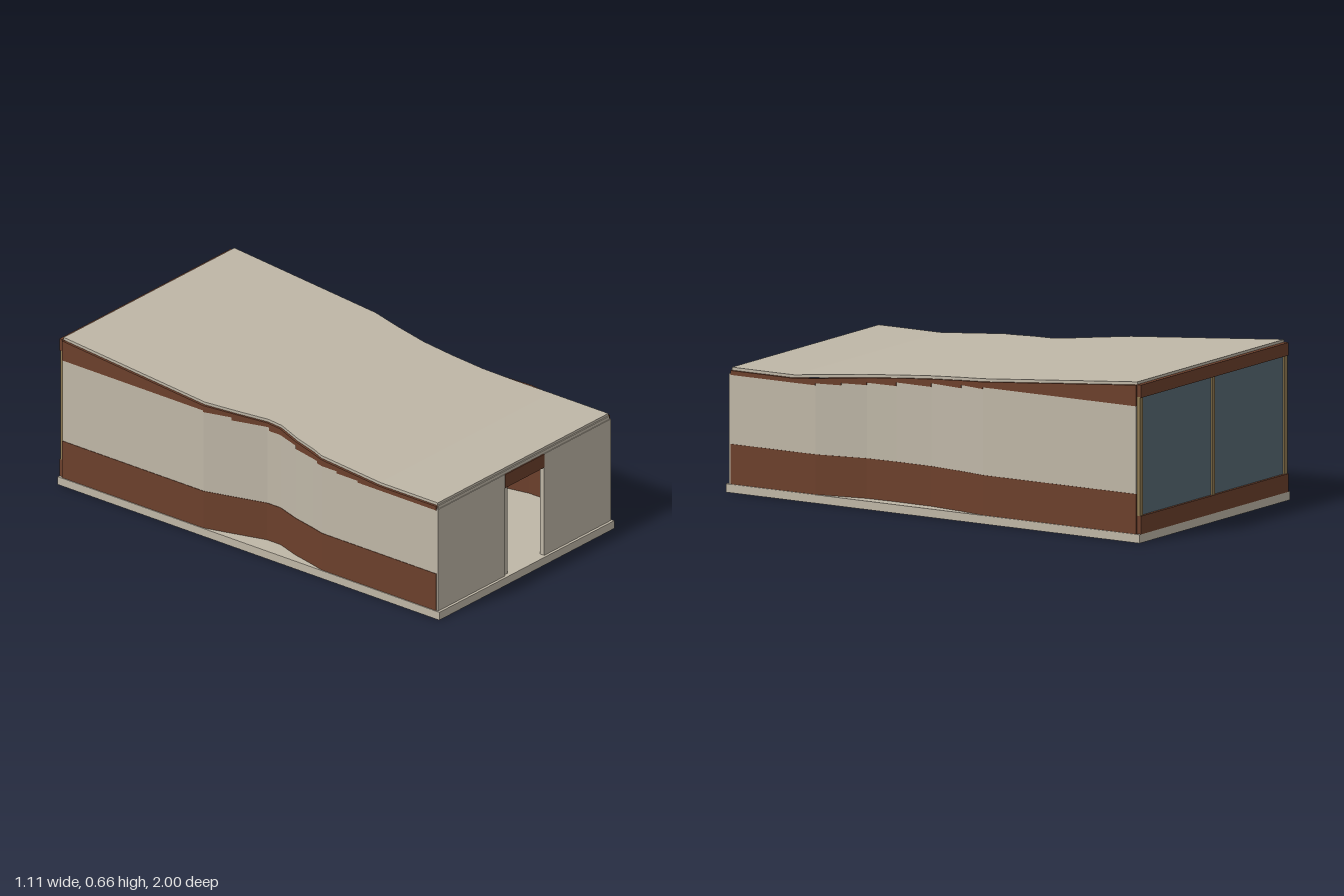
import * as THREE from 'three';
import { mergeGeometries } from 'three/addons/utils/BufferGeometryUtils.js';

const mat = (name, color) => {
  const m = new THREE.MeshStandardMaterial({ color });
  m.name = name;
  return m;
};

// Solid lofted through rectangular sections [z, xMin, xMax, yMin, yMax], z rising
function loft(sections) {
  const pos = [];
  const corners = ([z, xa, xb, ya, yb]) => [[xa, ya, z], [xb, ya, z], [xb, yb, z], [xa, yb, z]];
  const quad = (a, b, c, d) => pos.push(...a, ...b, ...c, ...a, ...c, ...d);
  const rings = sections.map(corners);
  for (let i = 0; i + 1 < rings.length; i++) {
    const p = rings[i], q = rings[i + 1];
    for (let k = 0; k < 4; k++) {
      const n = (k + 1) % 4;
      quad(p[n], p[k], q[k], q[n]);
    }
  }
  const first = rings[0], last = rings[rings.length - 1];
  quad(first[3], first[2], first[1], first[0]);
  quad(last[0], last[1], last[2], last[3]);
  for (let i = 0; i < pos.length; i += 9) {
    // reverse the side quads so that every face points outward
    const isCap = i >= pos.length - 36;
    if (isCap) continue;
    for (let k = 0; k < 3; k++) {
      const t = pos[i + 3 + k];
      pos[i + 3 + k] = pos[i + 6 + k];
      pos[i + 6 + k] = t;
    }
  }
  const g = new THREE.BufferGeometry();
  g.setAttribute('position', new THREE.Float32BufferAttribute(pos, 3));
  g.computeVertexNormals();
  return orient(g);
}

// Make the winding outward by checking the signed volume
function orient(g) {
  const p = g.attributes.position;
  const v = [new THREE.Vector3(), new THREE.Vector3(), new THREE.Vector3()];
  let volume = 0;
  for (let i = 0; i < p.count; i += 3) {
    v.forEach((w, k) => w.fromBufferAttribute(p, i + k));
    volume += v[0].dot(v[1].clone().cross(v[2]));
  }
  if (volume < 0) {
    for (let i = 0; i < p.count; i += 3) {
      v.forEach((w, k) => w.fromBufferAttribute(p, i + k));
      p.setXYZ(i + 1, v[2].x, v[2].y, v[2].z);
      p.setXYZ(i + 2, v[1].x, v[1].y, v[1].z);
    }
    g.computeVertexNormals();
  }
  return g;
}

// Half-width at depth z, from plan points [z, x]
function halfWidth(points, z) {
  let i = 0;
  while (i < points.length - 2 && z > points[i + 1][0]) i++;
  const [a, b] = [points[i], points[i + 1]];
  return a[1] + (b[1] - a[1]) * (z - a[0]) / (b[0] - a[0]);
}

const roofPlan = {
  1: [[-0.98, 0.543], [-0.24, 0.543], [-0.1, 0.518], [0.05, 0.498], [0.2, 0.495], [0.36, 0.499], [0.5, 0.516], [0.68, 0.543], [0.98, 0.543]],
  '-1': [[-0.98, 0.543], [-0.24, 0.543], [-0.1, 0.505], [0.03, 0.466], [0.1, 0.466], [0.21, 0.502], [0.32, 0.526], [0.37, 0.543], [0.98, 0.543]],
};
const wallPlan = {
  1: [[-0.98, 0.552], [-0.24, 0.552], [-0.12, 0.528], [0.04, 0.506], [0.21, 0.503], [0.35, 0.508], [0.46, 0.53], [0.57, 0.552], [0.98, 0.552]],
  '-1': [[-0.98, 0.552], [-0.24, 0.552], [-0.12, 0.518], [0.03, 0.474], [0.1, 0.474], [0.21, 0.511], [0.32, 0.536], [0.38, 0.552], [0.98, 0.552]],
};
const roofTop = (z) => 0.515 + Math.max(0, 0.68 - z) / 1.66 * 0.146;
const ROOF = 0.012;

// Stepped top of the pale wall
function wallTop(z) {
  const steps = [[-0.24, 0.562], [-0.12, 0.555], [0.04, 0.542], [0.21, 0.527], [0.35, 0.512], [0.46, 0.502], [0.57, 0.493]];
  const s = steps.find(([limit]) => z < limit);
  return s ? s[1] : 0.485;
}

export function createModel() {
  const model = new THREE.Group();
  const cream = mat('cream plaster', 0xbfb7a7);
  const brown = mat('brown timber', 0x6c402c);
  const tan = mat('tan frame', 0x917c53);
  const glass = mat('blue grey glass', 0x586a74);

  const add = (name, geometry, material) => {
    const m = new THREE.Mesh(geometry, material);
    m.name = name;
    model.add(m);
    return m;
  };
  // Box given by its limits
  const block = (name, material, x0, x1, y0, y1, z0, z1) => {
    const m = add(name, new THREE.BoxGeometry(x1 - x0, y1 - y0, z1 - z0), material);
    m.position.set((x0 + x1) / 2, (y0 + y1) / 2, (z0 + z1) / 2);
    return m;
  };

  block('baseSlab', cream, -0.557, 0.557, 0, 0.035, -1, 1);

  // Sloping roof following both curved sides
  const zs = [...new Set([...roofPlan[1], ...roofPlan[-1]].map(([z]) => z))].sort((a, b) => a - b);
  add('roof', loft(zs.map((z) => [z, -halfWidth(roofPlan[-1], z), halfWidth(roofPlan[1], z), roofTop(z) - ROOF, roofTop(z)])), cream);

  // Side walls: brown plinth, pale middle, brown fascia under the roof
  for (const side of [1, -1]) {
    const plan = wallPlan[side];
    const label = side > 0 ? 'left' : 'right';
    const cuts = [...new Set([...plan.map(([z]) => z), -0.12, 0.04, 0.21, 0.35, 0.46, 0.57, 0.68])].sort((a, b) => a - b);
    const section = (z, grow, y0, y1) => {
      const outer = halfWidth(plan, z) + grow;
      const x = [side * (outer - 0.018), side * outer].sort((a, b) => a - b);
      return [z, x[0], x[1], y0, y1];
    };
    const plaster = [], fascia = [];
    for (let i = 0; i + 1 < cuts.length; i++) {
      const [a, b] = [cuts[i], cuts[i + 1]];
      const h = wallTop((a + b) / 2);
      plaster.push(loft([section(a, -0.001, 0.2, h), section(b, -0.001, 0.2, h)]));
      fascia.push(loft([section(a, 0.002, h, roofTop(a) - ROOF), section(b, 0.002, h, roofTop(b) - ROOF)]));
    }
    add(label + 'Plinth', loft(cuts.map((z) => section(z, 0.001, 0.035, 0.2))), brown);
    add(label + 'Wall', mergeGeometries(plaster), cream);
    add(label + 'Fascia', mergeGeometries(fascia), brown);

    // Front wall panels and rear corner posts
    const span = (a, b) => (side > 0 ? [a, b] : [-b, -a]);
    block(label + 'FrontWall', cream, ...span(0.125, 0.55), 0.035, 0.49, 0.965, 0.988);
    block(label + 'RearPost', tan, ...span(0.523, 0.545), 0.11, 0.6, -0.995, -0.975);
  }
  block('frontBeam', cream, -0.543, 0.543, 0.49, 0.504, 0.965, 0.985);
  block('doorLintel', brown, -0.125, 0.125, 0.43, 0.49, 0.965, 0.99);
  block('entryPartition', cream, -0.125, -0.1, 0.035, 0.43, 0.5, 0.98);

  // Glazed rear wall
  block('rearSill', brown, -0.545, 0.545, 0.035, 0.11, -1, -0.97);
  block('rearFascia', brown, -0.545, 0.545, 0.597, 0.65, -1, -0.97);
  block('rearGlass', glass, -0.525, 0.525, 0.11, 0.598, -0.988, -0.982);
  block('rearMullion', tan, -0.01, 0.01, 0.11, 0.598, -0.995, -0.975);

  // Table inside
  block('tableTop', brown, -0.1, 0.12, 0.15, 0.16, 0.2, 0.45);
  for (const x of [-0.095, 0.095]) {
    for (const z of [0.22, 0.43]) block('tableLeg', tan, x - 0.008, x + 0.008, 0.035, 0.15, z - 0.008, z + 0.008);
  }
  return model;
}
